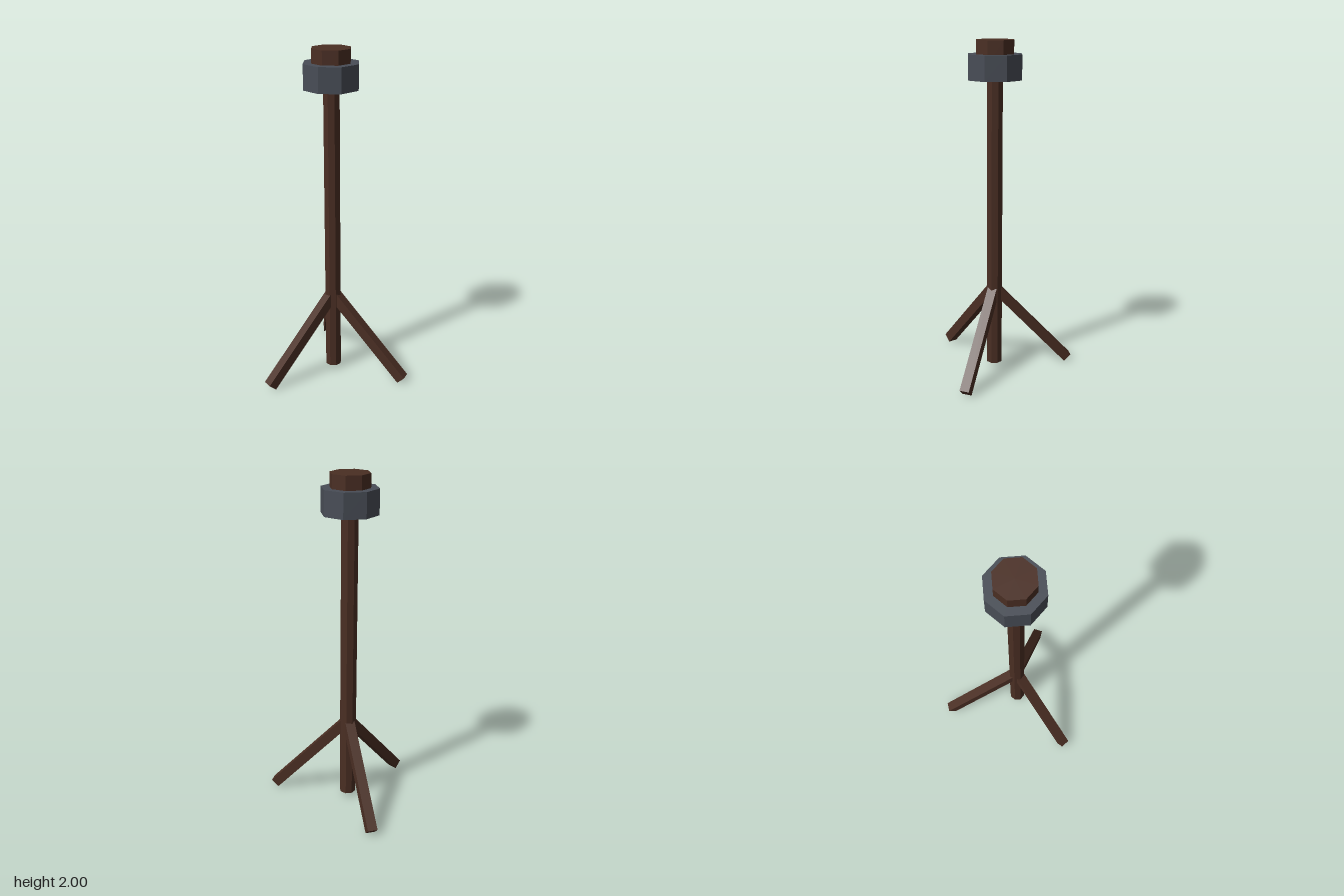
import * as THREE from 'three';

export function createModel() {
  const model = new THREE.Group();
  const wood = new THREE.MeshStandardMaterial({ name: 'dark wood', color: 0x4a2e23, flatShading: true });
  const iron = new THREE.MeshStandardMaterial({ name: 'grey iron', color: 0x484d56, flatShading: true });

  // Everything is arranged round the pole's axis
  const stand = new THREE.Group();
  stand.name = 'stand';
  stand.position.x = -0.11;
  model.add(stand);

  // Upright eight-sided prism between two heights
  function prism(name, radius, bottom, top, material) {
    const mesh = new THREE.Mesh(new THREE.CylinderGeometry(radius, radius, top - bottom, 8), material);
    mesh.name = name;
    mesh.position.y = (bottom + top) / 2;
    stand.add(mesh);
  }
  prism('pole', 0.049, 0.025, 1.8, wood);
  prism('collar', 0.165, 1.775, 1.92, iron);
  prism('head', 0.116, 1.85, 2, wood);

  // Three square legs splayed from the pole
  const hip = new THREE.Vector3(0, 0.515, 0);
  const foot = new THREE.Vector3(0.465, 0.02, 0);
  const slope = foot.clone().sub(hip);
  const legGeometry = new THREE.BoxGeometry(slope.length(), 0.058, 0.058);
  for (let i = 0; i < 3; i++) {
    const leg = new THREE.Group();
    leg.name = 'leg' + (i + 1);
    leg.rotation.y = (i * Math.PI * 2) / 3;
    const beam = new THREE.Mesh(legGeometry, wood);
    beam.name = 'legBeam';
    beam.position.copy(hip).add(foot).multiplyScalar(0.5);
    beam.rotation.z = Math.atan2(slope.y, slope.x);
    leg.add(beam);
    stand.add(leg);
  }
  return model;
}
